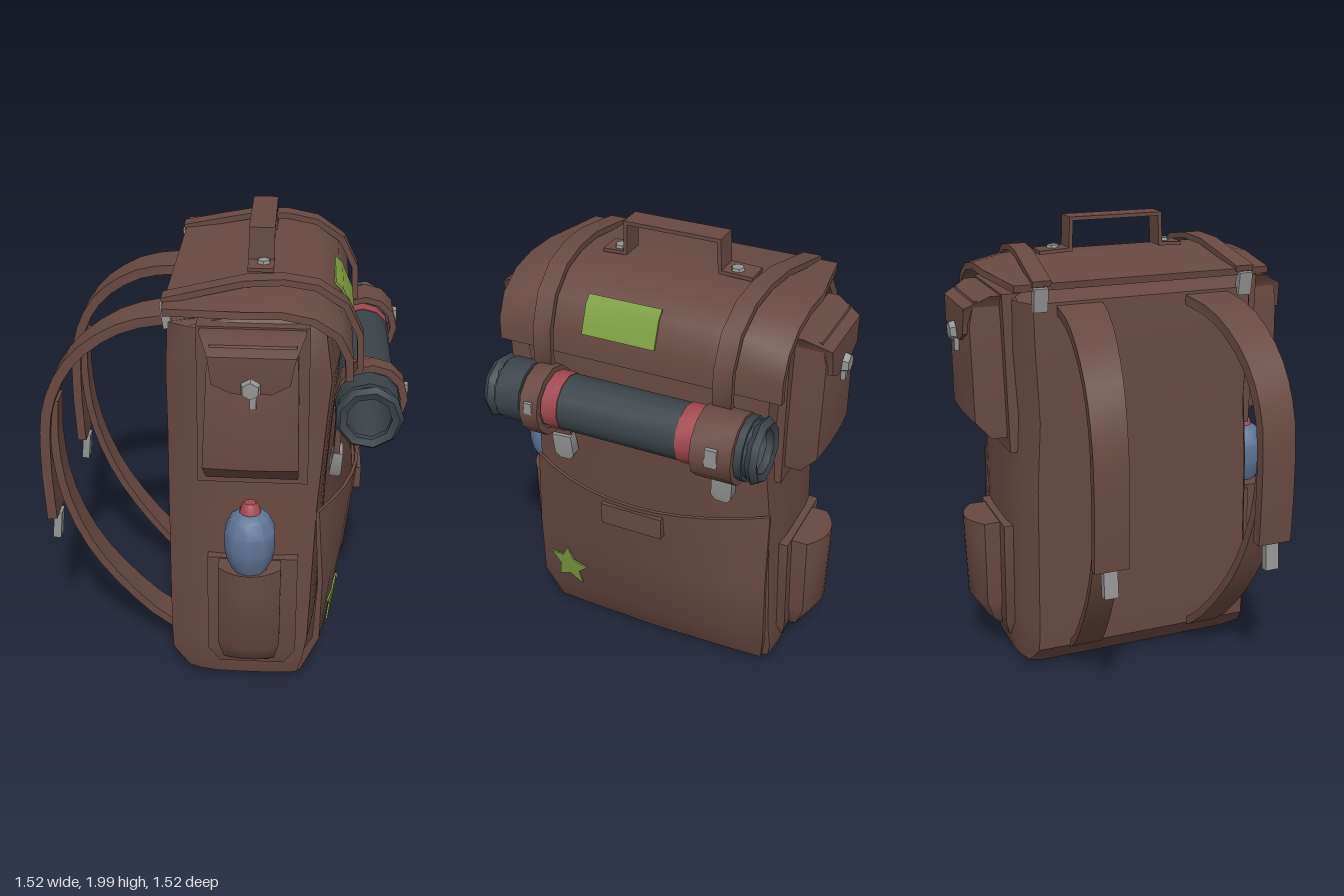
import * as THREE from 'three';
import { toCreasedNormals } from 'three/addons/utils/BufferGeometryUtils.js';

const material = (name, color) => new THREE.MeshStandardMaterial({ name, color });
const { lerp, clamp } = THREE.MathUtils;

// Applies a rule to every vertex
function reshape(geo, rule) {
  const p = geo.attributes.position, v = new THREE.Vector3();
  for (let i = 0; i < p.count; i++) {
    rule(v.fromBufferAttribute(p, i));
    p.setXYZ(i, v.x, v.y, v.z);
  }
  return geo;
}

// Box lofted through rows of [y, x0, x1, z0, z1, frontBulge, sideBulge]
function loftBox(rows) {
  const n = rows.length - 1;
  return reshape(new THREE.BoxGeometry(1, 1, 1, 8, n, 10), v => {
    const [y, x0, x1, z0, z1, bx = 0, bz = 0] = rows[Math.round((v.y + 0.5) * n)];
    const u = v.x, w = v.z;
    v.set(lerp(x0, x1 - bx * 4 * w * w, u + 0.5), y, lerp(z0, z1 - bz * 4 * u * u, w + 0.5));
  });
}

// Strip of even thickness along a path in x-y, extruded across z
function band(path, thickness, width, steps = 1) {
  const pts = path.map(p => new THREE.Vector2(...p));
  const dir = (a, b) => b.clone().sub(a).normalize();
  const side = s => pts.map((p, i) => {
    const a = dir(pts[Math.max(i - 1, 0)], pts[Math.max(i, 1)]);
    const b = i < pts.length - 1 ? dir(p, pts[i + 1]) : a;
    const t = a.clone().add(b).normalize();
    const k = s * thickness / 2 / Math.max(t.dot(b), 0.5);
    return new THREE.Vector2(p.x - t.y * k, p.y + t.x * k);
  });
  const shape = new THREE.Shape([...side(1), ...side(-1).reverse()]);
  return new THREE.ExtrudeGeometry(shape, { depth: width, steps, bevelEnabled: false }).translate(0, 0, -width / 2);
}

const smoothPath = (pts, n) =>
  new THREE.SplineCurve(pts.map(p => new THREE.Vector2(...p))).getPoints(n).map(p => [p.x, p.y]);

// Hollow tube lying along z
function tube(r0, r1, z0, z1) {
  const pts = [[r0, z0], [r1, z0], [r1, z1], [r0, z1], [r0, z0]].map(p => new THREE.Vector2(...p));
  return new THREE.LatheGeometry(pts, 12).rotateX(Math.PI / 2);
}

export function createModel() {
  const cloth = material('brown canvas', 0x684942);
  const metal = material('grey metal', 0x949494);
  const green = material('green patch', 0x7c9c40);
  const dark = material('dark bedroll', 0x3b444a);
  const red = material('red trim', 0xa14850);
  const blue = material('blue bottle', 0x5f7596);
  const model = new THREE.Group();
  model.name = 'backpack';

  const add = (name, geo, mat, parent = model, pos = [0, 0, 0], rot = [0, 0, 0]) => {
    const m = new THREE.Mesh(toCreasedNormals(geo, 0.7), mat);
    m.name = name;
    m.position.set(...pos);
    m.rotation.set(...rot);
    parent.add(m);
  };
  const box = (...s) => new THREE.BoxGeometry(...s);

  // Main bag, narrowing towards its rounded back corners
  add('body', reshape(loftBox([
    [0.012, -0.09, 0.33, -0.47, 0.47, 0.03], [0.05, -0.13, 0.39, -0.56, 0.56, 0.04],
    [0.13, -0.205, 0.41, -0.58, 0.58, 0.04], [0.25, -0.21, 0.44, -0.58, 0.58, 0.05],
    [0.9, -0.21, 0.46, -0.57, 0.57, 0.05], [1.2, -0.21, 0.48, -0.55, 0.55, 0.05],
    [1.5, -0.21, 0.5, -0.565, 0.565, 0.05], [1.705, -0.2, 0.45, -0.56, 0.56, 0.03],
    [1.765, 0.08, 0.34, -0.52, 0.52],
  ]), v => {
    v.z *= 1 - 0.14 * clamp((0.02 - v.x) / 0.23, 0, 1) ** 2 - 0.04 * clamp((v.x - 0.2) / 0.2, 0, 1) ** 2;
  }), cloth);

  // Open front pocket, bulging in the middle, with a pull tab and a star
  const bulge = v => { v.x -= (0.01 + 0.19 * v.y) * (v.z / 0.56) ** 2; };
  add('frontPocket', reshape(loftBox([
    [0.04, 0.33, 0.38, -0.52, 0.52], [0.25, 0.47, 0.5, -0.555, 0.555],
    [0.55, 0.54, 0.56, -0.555, 0.555], [0.9, 0.585, 0.6, -0.555, 0.555],
  ]), bulge), cloth);
  add('pocketTab', box(0.04, 0.1, 0.28), cloth, model, [0.588, 0.83, 0]);
  const star = new THREE.Shape(Array.from({ length: 10 }, (_, i) => {
    const a = Math.PI / 2 + i * Math.PI / 5, r = i % 2 ? 0.055 : 0.112;
    return new THREE.Vector2(Math.cos(a) * r, Math.sin(a) * r);
  }));
  const starGeo = new THREE.ExtrudeGeometry(star, { depth: 0.008, bevelEnabled: false })
    .rotateY(Math.PI / 2).translate(0, 0.372, 0.388);
  add('star', reshape(starGeo, v => {
    v.x += lerp(0.5, 0.56, (v.y - 0.25) / 0.3) + 0.007;
    bulge(v);
  }), green);

  // Lid shell, drooping at the ends
  const lidPath = [[-0.21, 1.775], [-0.05, 1.8], [0.1, 1.825], [0.25, 1.828], [0.37, 1.805], [0.465, 1.745], [0.51, 1.64], [0.515, 1.53]];
  add('lid', reshape(band(lidPath, 0.03, 1.24, 8), v => {
    v.y -= 0.035 * clamp((Math.abs(v.z) - 0.46) / 0.16, 0, 1)
      * clamp((v.x + 0.2) / 0.3, 0, 1) * clamp((v.y - 1.53) / 0.2, 0, 1);
    v.z *= 1 - 0.08 * clamp((0.1 - v.x) / 0.3, 0, 1);
  }), cloth);
  add('lidPatch', band([[0.455, 1.784], [0.486, 1.755], [0.534, 1.642]], 0.009, 0.32), green, model, [0, 0, 0.07]);

  // Carry handle
  const handle = [[0.3, 1.855], [0.2, 1.86], [0.195, 1.992], [-0.215, 1.992], [-0.22, 1.86], [-0.36, 1.855]];
  add('handle', band(handle, 0.016, 0.105).rotateY(-Math.PI / 2), cloth, model, [0.155, 0, 0]);
  for (const z of [0.235, -0.28])
    add('handleRivet', new THREE.CylinderGeometry(0.026, 0.032, 0.02, 6), metal, model, [0.165, 1.868, z]);

  // Lid straps, shoulder straps and their buckles
  const lidStrap = [[-0.22, 1.79], [-0.05, 1.828], [0.1, 1.86], [0.25, 1.865], [0.38, 1.842], [0.495, 1.765], [0.556, 1.64], [0.565, 1.5], [0.5, 1.4], [0.49, 1.25], [0.485, 1.08]];
  const pad = smoothPath([[-0.17, 1.675], [-0.4, 1.635], [-0.6, 1.5], [-0.71, 1.3], [-0.738, 1.05], [-0.73, 0.74]], 14);
  const webbing = smoothPath([[-0.69, 1.3], [-0.7, 1.1], [-0.67, 0.85], [-0.58, 0.6], [-0.44, 0.38], [-0.25, 0.17], [-0.06, 0.07]], 14);
  for (const s of [1, -1]) {
    add('lidStrap', reshape(band(lidStrap, 0.026, 0.08), v => {
      v.z += s * (0.455 - 0.06 * clamp((v.x + 0.2) / 0.75, 0, 1) - 0.025 * clamp((1.5 - v.y) / 0.2, 0, 1));
    }), cloth);
    add('lidClasp', box(0.035, 0.1, 0.06), metal, model, [-0.205, 1.725, s * 0.46], [0, 0, 0.15]);
    add('strapBuckle', loftBox([
      [-0.065, -0.02, 0.02, -0.025, 0.025], [-0.035, -0.025, 0.025, -0.045, 0.045], [0.06, -0.02, 0.02, -0.045, 0.045],
    ]), metal, model, [0.487, 1.045, s * 0.37], [s * 0.06, 0, -0.1]);
    const splay = width => v => {
      const t = clamp((-0.2 - v.x) / 0.54, 0, 1);
      v.z = v.z * lerp(width, width * 0.74, t) + s * lerp(0.285, 0.362, t);
    };
    add('shoulderPad', reshape(band(pad, 0.042, 1), splay(0.2)), cloth);
    add('shoulderWebbing', reshape(band(webbing, 0.034, 1), splay(0.14)), cloth);
    add('shoulderBuckle', box(0.035, 0.13, 0.06), metal, model, [-0.72, 0.68, s * 0.36], [0, 0, -0.1]);
  }

  // Side pockets, turned about the middle of the bag for the far side
  for (const turn of [0, Math.PI]) {
    const side = new THREE.Group();
    side.name = 'sidePockets';
    side.position.x = 0.14;
    side.rotation.y = turn;
    model.add(side);
    add('upperBacking', loftBox([[1.04, -0.22, 0.23, 0.5, 0.572], [1.73, -0.22, 0.22, 0.5, 0.585]]), cloth, side);
    add('upperPocket', loftBox([
      [1.1, -0.18, 0.19, 0.54, 0.64], [1.18, -0.19, 0.19, 0.54, 0.72, 0, 0.01],
      [1.6, -0.17, 0.18, 0.54, 0.725, 0, 0.01], [1.7, -0.16, 0.17, 0.54, 0.69],
    ]), cloth, side);
    add('pocketFlap', loftBox([
      [1.52, -0.07, 0.08, 0.55, 0.735], [1.56, -0.15, 0.15, 0.55, 0.738],
      [1.67, -0.165, 0.17, 0.55, 0.735], [1.722, -0.205, 0.205, 0.55, 0.63],
    ]), cloth, side);
    add('flapClasp', new THREE.CylinderGeometry(0.035, 0.046, 0.035, 6).rotateX(Math.PI / 2), metal, side, [0, 1.545, 0.745]);
    add('claspTongue', box(0.025, 0.06, 0.02), metal, side, [0.01, 1.49, 0.735]);
    add('lowerBacking', loftBox([
      [0.13, -0.13, 0.15, 0.5, 0.585], [0.22, -0.18, 0.2, 0.5, 0.61], [0.69, -0.18, 0.2, 0.5, 0.605],
    ]), cloth, side);
    add('lowerPocket', loftBox([
      [0.165, -0.08, 0.08, 0.54, 0.61], [0.2, -0.11, 0.11, 0.54, 0.66, 0, 0.02], [0.3, -0.13, 0.13, 0.54, 0.725, 0, 0.05],
      [0.6, -0.13, 0.13, 0.54, 0.735, 0, 0.06], [0.685, -0.13, 0.13, 0.54, 0.735, 0, 0.06],
    ]), cloth, side);
  }

  // Water bottle
  const lathe = pts => new THREE.LatheGeometry(pts.map(p => new THREE.Vector2(...p)), 10);
  add('bottle', lathe([[0, 0.66], [0.07, 0.68], [0.098, 0.74], [0.107, 0.79], [0.107, 0.87], [0.08, 0.93], [0.045, 0.955], [0, 0.955]]),
    blue, model, [0.14, 0, 0.655]);
  add('bottleCap', lathe([[0, 0.945], [0.048, 0.945], [0.038, 0.98], [0.024, 0.997], [0, 0.997]]), red, model, [0.14, 0, 0.655]);

  // Hollow bedroll with red bands and holding loops
  const roll = new THREE.Group();
  roll.name = 'bedroll';
  roll.position.set(0.6, 1.355, 0);
  model.add(roll);
  add('rollBody', tube(0.098, 0.118, -0.56, 0.56), dark, roll);
  for (const s of [1, -1]) {
    add('redBand', tube(0.11, 0.122, -0.035, 0.035), red, roll, [0, 0, s * 0.295]);
    add('rollShoulder', tube(0.1, 0.132, -0.055, 0.055), dark, roll, [0, 0, s * 0.485]);
    add('rollEnd', new THREE.TorusGeometry(0.112, 0.026, 5, 9), dark, roll, [0, 0, s * 0.575]);
  }
  add('leftLoop', tube(0.118, 0.148, -0.04, 0.04), cloth, roll, [0.015, 0, 0.365]);
  add('rightLoop', tube(0.118, 0.146, -0.085, 0.085), cloth, roll, [0.015, 0, -0.425]);
  add('leftLoopBuckle', box(0.02, 0.05, 0.035), metal, roll, [0.152, 0.03, 0.365]);
  add('rightLoopBuckle', box(0.02, 0.08, 0.05), metal, roll, [0.152, 0.02, -0.43]);

  return model;
}
